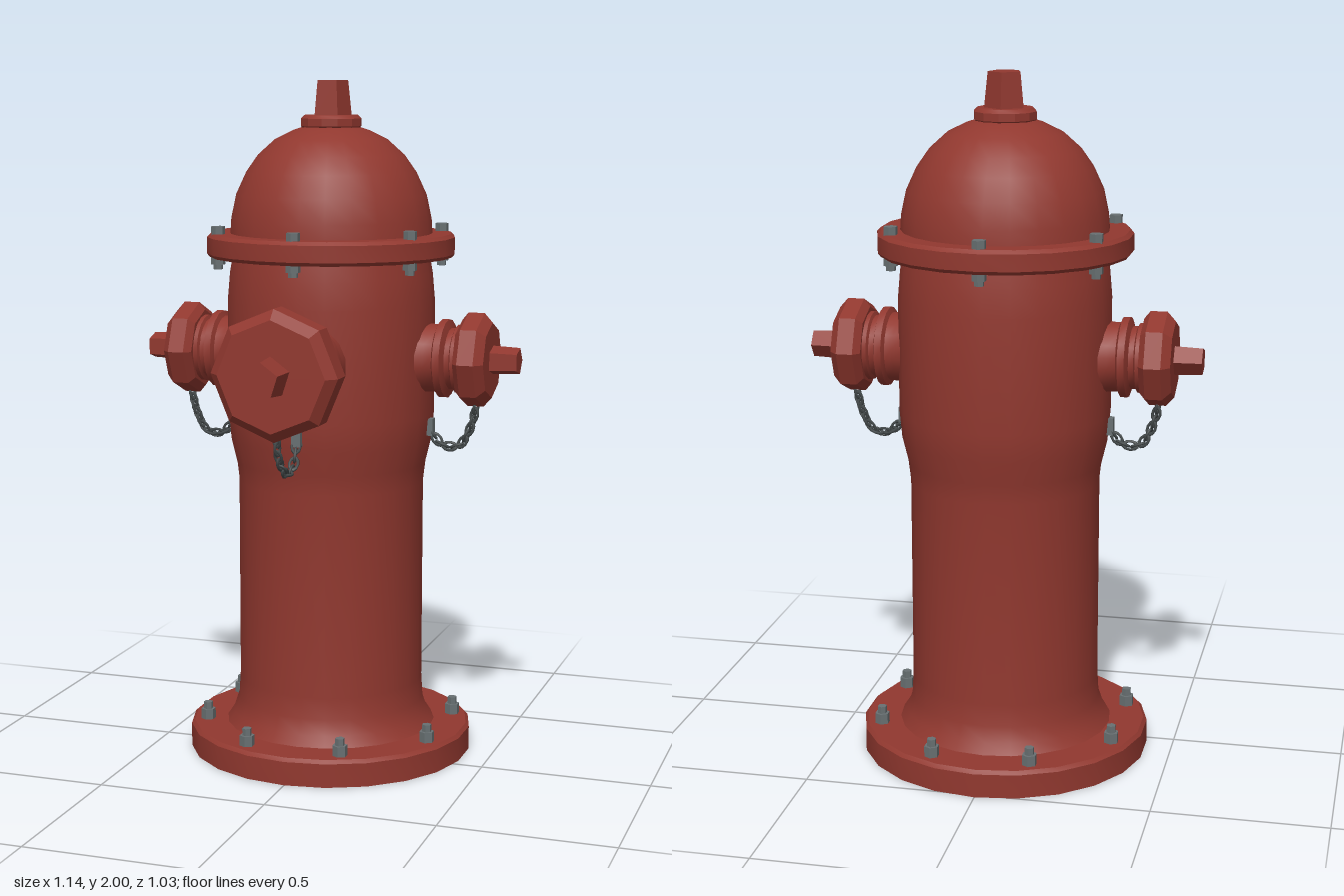
import * as THREE from 'three';
import { toCreasedNormals } from 'three/addons/utils/BufferGeometryUtils.js';

const mat = (name, color) => {
  const m = new THREE.MeshStandardMaterial({ color });
  m.name = name;
  return m;
};

export function createModel() {
  const red = mat('red paint', 0x91382f);
  const steel = mat('bolt steel', 0x687072);
  const iron = mat('chain iron', 0x444a4b);

  // everything is arranged around the barrel axis
  const hydrant = new THREE.Group();
  hydrant.name = 'hydrant';
  hydrant.position.z = -0.09;

  const add = (parent, name, geometry, material) => {
    const mesh = new THREE.Mesh(geometry, material);
    mesh.name = name;
    parent.add(mesh);
    return mesh;
  };
  const turned = (profile, sides, crease = 0.6) => toCreasedNormals(
    new THREE.LatheGeometry(profile.map(([r, y]) => new THREE.Vector2(r, y)), sides), crease);
  const prism = (rTop, rBottom, height, sides, y) => toCreasedNormals(
    new THREE.CylinderGeometry(rTop, rBottom, height, sides, 1, false, Math.PI)
      .translate(0, y + height / 2, 0), 0.3);

  // main castings
  add(hydrant, 'baseFlange', turned([
    [0, 0], [0.425, 0], [0.425, 0.07], [0.415, 0.08], [0, 0.08]], 22), red);
  add(hydrant, 'barrel', turned([
    [0.315, 0.08], [0.295, 0.11], [0.28, 0.155], [0.276, 0.22], [0.276, 0.82], [0.283, 0.88],
    [0.3, 0.95], [0.307, 1.03], [0.307, 1.36], [0.3, 1.44], [0.29, 1.5]], 24), red);
  add(hydrant, 'bonnetFlange', turned([
    [0.28, 1.49], [0.358, 1.49], [0.366, 1.5], [0.366, 1.548], [0.355, 1.558], [0.28, 1.558]], 22), red);
  add(hydrant, 'bonnet', turned([
    [0.298, 1.555], [0.295, 1.6], [0.28, 1.67], [0.25, 1.735], [0.215, 1.785], [0.165, 1.83],
    [0.11, 1.857], [0.07, 1.87], [0, 1.872]], 24), red);
  add(hydrant, 'stemCollar', turned([
    [0.075, 1.85], [0.09, 1.868], [0.09, 1.89], [0.08, 1.9], [0, 1.9]], 12, 0.4), red);
  add(hydrant, 'operatingStem', prism(0.049, 0.06, 0.105, 5, 1.895), red);

  // ring of hexagonal bolts
  function boltRing(name, count, radius, offset, parts) {
    const ring = new THREE.Group();
    ring.name = name;
    hydrant.add(ring);
    for (let i = 0; i < count; i++) {
      const a = offset + (i / count) * Math.PI * 2;
      for (const [r, h, y] of parts) {
        const bolt = add(ring, 'bolt', prism(r, r, h, 6, y), steel);
        bolt.position.set(Math.sin(a) * radius, 0, Math.cos(a) * radius);
      }
    }
  }
  boltRing('bonnetBolts', 6, 0.336, 0,
    [[0.02, 0.026, 1.555], [0.021, 0.022, 1.47], [0.014, 0.014, 1.456]]);
  boltRing('baseBolts', 8, 0.374, Math.PI / 8,
    [[0.022, 0.033, 0.078], [0.014, 0.022, 0.11]]);

  // chain hanging in the local yz plane
  function chain(parent, points, links) {
    const curve = new THREE.CatmullRomCurve3(points.map(([z, y]) => new THREE.Vector3(0, y, z)));
    const link = new THREE.TorusGeometry(0.012, 0.0042, 5, 10).scale(1, 1.6, 1);
    const group = new THREE.Group();
    group.name = 'chain';
    parent.add(group);
    for (let i = 0; i < links; i++) {
      const t = (i + 0.5) / links;
      const mesh = add(group, 'chainLink', link, iron);
      mesh.position.copy(curve.getPointAt(t));
      mesh.quaternion.setFromUnitVectors(new THREE.Vector3(0, 1, 0), curve.getTangentAt(t));
      mesh.rotateY((i % 2) * Math.PI / 2 + 0.3);
    }
    const [z, y] = points[points.length - 1];
    const lug = add(group, 'chainAnchor', new THREE.BoxGeometry(0.028, 0.05, 0.03), steel);
    lug.position.set(0, y + 0.01, z - 0.005);
  }

  // outlet with neck, octagonal cap, drive nut and chain, facing local +z
  function outlet(name, turn, roll, neck, cap, nut, links) {
    const group = new THREE.Group();
    group.name = name;
    group.rotation.y = turn;
    hydrant.add(group);
    const pipe = new THREE.Group();
    pipe.name = name + 'Fitting';
    pipe.position.y = 1.2;
    pipe.rotation.set(Math.PI / 2, 0, 0);
    group.add(pipe);
    add(pipe, 'outletNeck', turned(neck, 18), red);
    add(pipe, 'outletCap', turned(cap, 8, 0.2), red);
    add(pipe, 'driveNut', prism(...nut), red).rotation.y = roll;
    chain(group, links, 11);
  }

  outlet('frontOutlet', 0, 0,
    [[0.14, 0.24], [0.133, 0.31], [0.133, 0.33], [0.148, 0.34], [0.148, 0.37], [0.132, 0.378],
      [0.132, 0.39], [0.145, 0.395], [0.145, 0.42]],
    [[0, 0.41], [0.155, 0.41], [0.186, 0.432], [0.186, 0.498], [0.158, 0.525], [0, 0.525]],
    [0.052, 0.059, 0.085, 5, 0.52],
    [[0.48, 1.03], [0.455, 0.955], [0.395, 0.908], [0.34, 0.92], [0.308, 0.985]]);

  for (const side of [1, -1]) {
    outlet(side > 0 ? 'leftOutlet' : 'rightOutlet', side * Math.PI / 2, -side * Math.PI / 2,
      [[0.11, 0.27], [0.1, 0.31], [0.1, 0.335], [0.115, 0.342], [0.115, 0.362], [0.09, 0.37],
        [0.09, 0.385], [0.1, 0.39], [0.1, 0.415]],
      [[0, 0.402], [0.115, 0.402], [0.137, 0.42], [0.137, 0.468], [0.11, 0.492], [0, 0.492]],
      [0.04, 0.044, 0.085, 5, 0.487],
      [[0.448, 1.07], [0.43, 1.0], [0.395, 0.945], [0.345, 0.945], [0.308, 0.985]]);
  }

  const model = new THREE.Group();
  model.name = 'fireHydrant';
  model.add(hydrant);
  return model;
}
